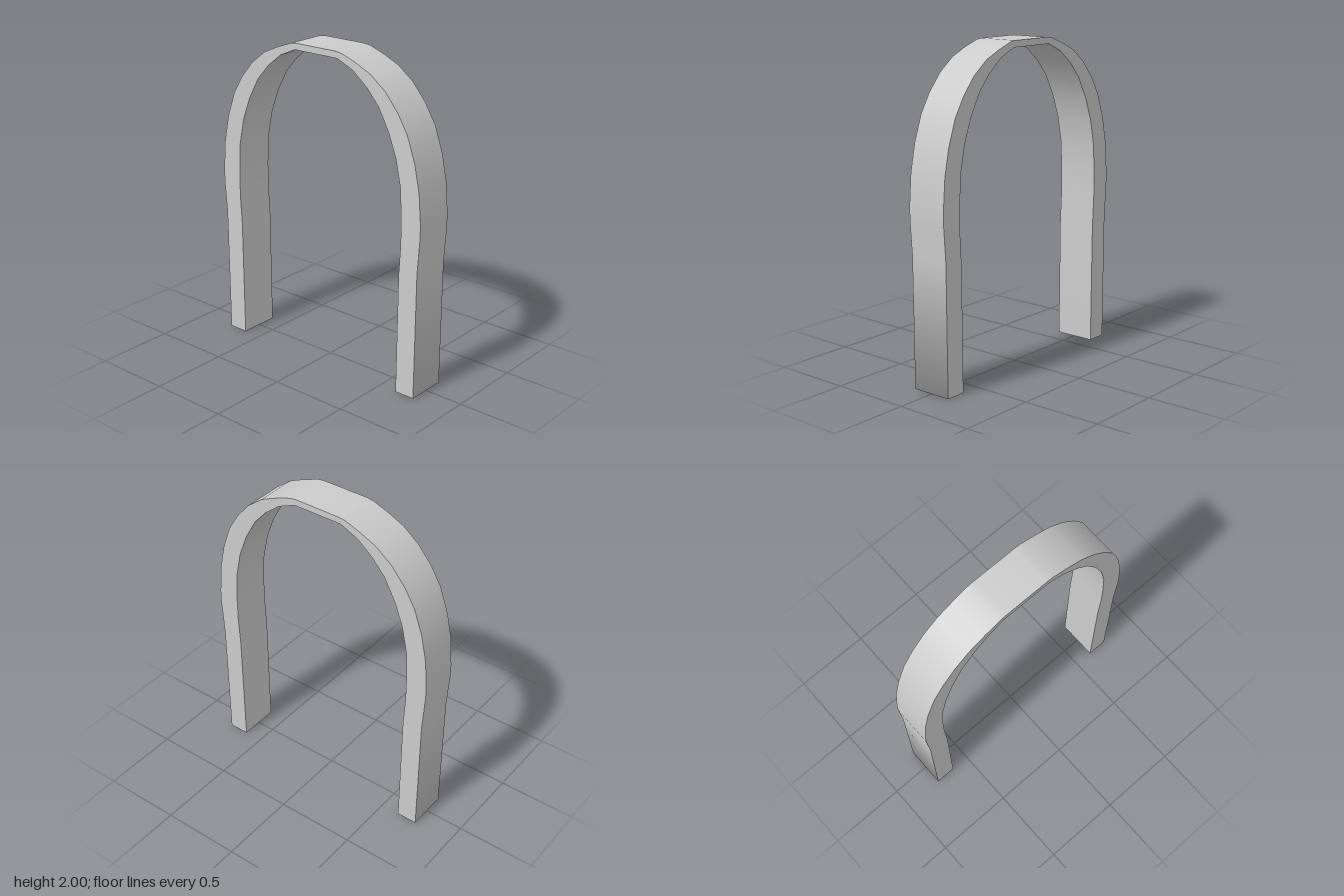
import * as THREE from 'three';

const W = 0.13; // half the band's width

// Half profiles as [z, y], from the foot up to the crown
const outer = [[0.75, 0], [0.755, 0.8], [0.77, 1.02], [0.77, 1.1], [0.755, 1.29], [0.72, 1.455], [0.665, 1.61],
  [0.595, 1.725], [0.505, 1.83], [0.4, 1.91], [0.295, 1.957], [0.19, 1.995], [0.15, 2]];
const inner = [[0.62, 0], [0.625, 0.76], [0.635, 0.945], [0.635, 1.1], [0.625, 1.29], [0.59, 1.455], [0.535, 1.6],
  [0.46, 1.735], [0.375, 1.83], [0.275, 1.91], [0.16, 1.96]];

const mirror = (half) => [...half, ...half.map(([z, y]) => [-z, y]).reverse()];

// Strip swept across x along a path, with normals averaged between neighbouring segments
function ribbon(path) {
  const segNormal = (i) => {
    const [a, b] = [path[i], path[i + 1]];
    return new THREE.Vector3(0, a[0] - b[0], b[1] - a[1]).normalize();
  };
  const pos = [], nor = [], idx = [];
  path.forEach(([z, y], i) => {
    const n = new THREE.Vector3();
    if (i > 0) n.add(segNormal(i - 1));
    if (i < path.length - 1) n.add(segNormal(i));
    n.normalize();
    for (const x of [-W, W]) {
      pos.push(x, y, z);
      nor.push(n.x, n.y, n.z);
    }
    if (i > 0) {
      const a = 2 * i - 2;
      idx.push(a, a + 1, a + 2, a + 1, a + 3, a + 2);
    }
  });
  const g = new THREE.BufferGeometry();
  g.setAttribute('position', new THREE.Float32BufferAttribute(pos, 3));
  g.setAttribute('normal', new THREE.Float32BufferAttribute(nor, 3));
  g.setIndex(idx);
  return g;
}

export function createModel() {
  const group = new THREE.Group();
  group.name = 'arch';
  const material = new THREE.MeshStandardMaterial({ color: 0xcccccc });
  const add = (name, geometry) => {
    const mesh = new THREE.Mesh(geometry, material);
    mesh.name = name;
    group.add(mesh);
  };

  const outerPath = mirror(outer);
  const innerPath = mirror(inner).reverse();

  // Outer face, wrapping smoothly under both feet
  add('outerBandAndFeet', ribbon([inner[0], ...outerPath, innerPath[0]]));
  // Inner face of the arch
  add('innerBand', ribbon(innerPath));

  // Flat sides
  const outline = new THREE.Shape([...outerPath, ...innerPath].map(([z, y]) => new THREE.Vector2(z, y)));
  for (const [name, s] of [['leftSide', 1], ['rightSide', -1]]) {
    add(name, new THREE.ShapeGeometry(outline).rotateY(s * Math.PI / 2).translate(s * W, 0, 0));
  }
  return group;
}
